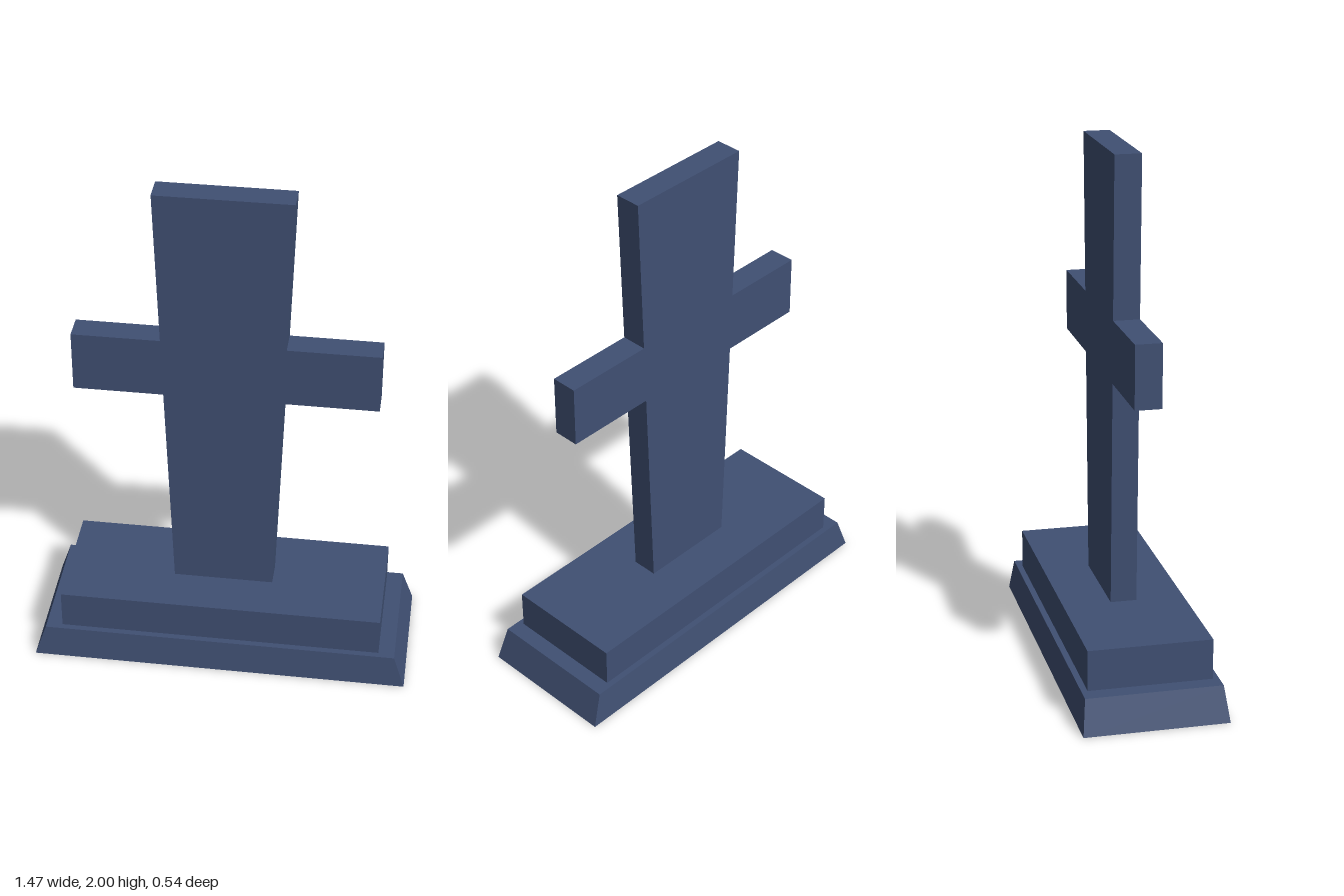
import * as THREE from 'three';

const slate = new THREE.MeshStandardMaterial({ color: 0x405073 });
slate.name = 'slate blue';

// Extrudes an [x, y] outline evenly about z = 0
function slab(name, points, depth) {
  const shape = new THREE.Shape(points.map(([x, y]) => new THREE.Vector2(x, y)));
  const geometry = new THREE.ExtrudeGeometry(shape, { depth, bevelEnabled: false });
  geometry.translate(0, 0, -depth / 2);
  const mesh = new THREE.Mesh(geometry, slate);
  mesh.name = name;
  return mesh;
}

// Box whose upper face is scaled in to slope the sides
function taperedBox(name, [w, h, d], y, topX = 1, topZ = 1) {
  let geometry = new THREE.BoxGeometry(w, h, d);
  const p = geometry.attributes.position;
  for (let i = 0; i < p.count; i++) {
    if (p.getY(i) > 0) {
      p.setX(i, p.getX(i) * topX);
      p.setZ(i, p.getZ(i) * topZ);
    }
  }
  geometry.translate(0, y + h / 2, 0);
  geometry = geometry.toNonIndexed();
  geometry.computeVertexNormals();
  const mesh = new THREE.Mesh(geometry, slate);
  mesh.name = name;
  return mesh;
}

export function createModel() {
  const model = new THREE.Group();
  model.name = 'stoneCross';

  // Stepped base
  model.add(taperedBox('plinth', [1.466, 0.13, 0.544], 0, 0.94, 0.943));
  model.add(taperedBox('step', [1.252, 0.155, 0.466], 0.13));

  // Cross with a shaft that widens upwards
  model.add(slab('cross', [
    [-0.202, 0.285], [0.186, 0.285],
    [0.217, 1.153], [0.573, 1.153], [0.573, 1.392], [0.225, 1.392],
    [0.246, 2], [-0.262, 2],
    [-0.241, 1.392], [-0.573, 1.392], [-0.573, 1.153], [-0.233, 1.153],
  ], 0.1));

  return model;
}
